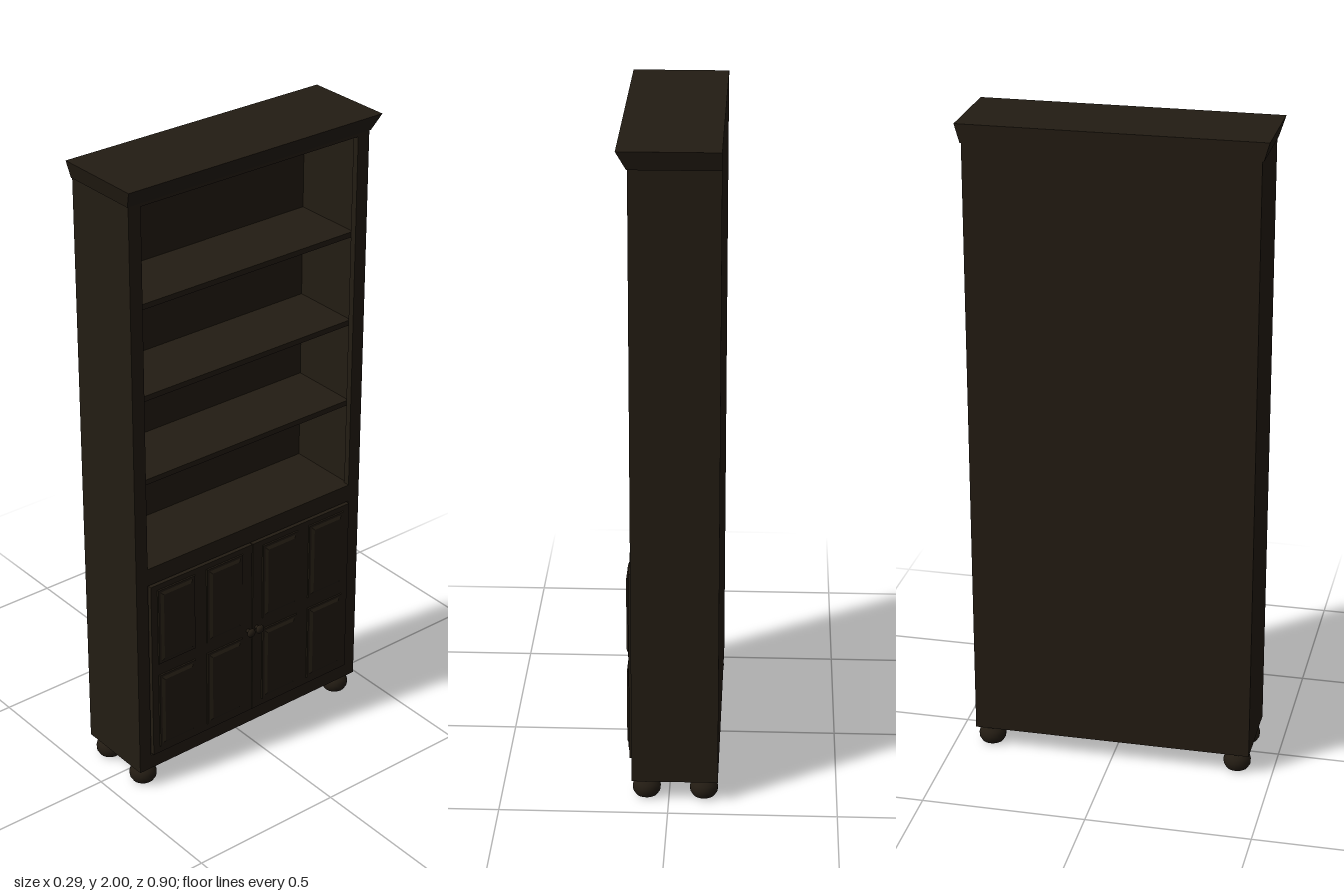
import * as THREE from 'three';

const wood = new THREE.MeshStandardMaterial({ color: 0x231c13 });

function add(parent, name, geometry) {
  const mesh = new THREE.Mesh(geometry, wood);
  mesh.name = name;
  parent.add(mesh);
  return mesh;
}

// Box given by its limits on each axis
function box(parent, name, [x0, x1], [y0, y1], [z0, z1]) {
  const mesh = add(parent, name, new THREE.BoxGeometry(x1 - x0, y1 - y0, z1 - z0));
  mesh.position.set((x0 + x1) / 2, (y0 + y1) / 2, (z0 + z1) / 2);
  return mesh;
}

// Raised panel: a thin slab whose +x face is inset to make a bevel
function raisedPanel(parent, name, x, y, z, depth, height, width, inset) {
  const geometry = new THREE.BoxGeometry(depth, height, width);
  const p = geometry.attributes.position;
  for (let i = 0; i < p.count; i++) {
    if (p.getX(i) > 0) {
      p.setY(i, p.getY(i) - Math.sign(p.getY(i)) * inset);
      p.setZ(i, p.getZ(i) - Math.sign(p.getZ(i)) * inset);
    }
  }
  const flat = geometry.toNonIndexed();
  flat.computeVertexNormals();
  add(parent, name, flat).position.set(x, y, z);
}

function lathe(points) {
  return new THREE.LatheGeometry(points.map(([r, y]) => new THREE.Vector2(r, y)), 24);
}

export function createModel() {
  const model = new THREE.Group();
  model.name = 'bookcase';
  const back = -0.146, frameBack = 0.09, front = 0.11;

  // Carcass
  box(model, 'backPanel', [back, -0.135], [0.065, 1.95], [-0.43, 0.43]);
  box(model, 'basePanel', [back, frameBack], [0.065, 0.11], [-0.43, 0.43]);
  box(model, 'topPanel', [back, frameBack], [1.935, 1.95], [-0.43, 0.43]);
  for (const s of [-1, 1]) {
    const side = (a, b) => (s > 0 ? [a, b] : [-b, -a]);
    box(model, 'sidePanel', [back, frameBack], [0.065, 1.95], side(0.395, 0.43));
    box(model, 'frontStile', [frameBack, front], [0.065, 1.95], side(0.388, 0.43));
  }

  // Face frame rails
  box(model, 'bottomRail', [frameBack, front], [0.065, 0.113], [-0.388, 0.388]);
  box(model, 'middleRail', [frameBack, front], [0.725, 0.782], [-0.388, 0.388]);
  box(model, 'topRail', [frameBack, front], [1.935, 1.95], [-0.388, 0.388]);

  // Shelves
  box(model, 'cabinetTop', [-0.135, frameBack], [0.765, 0.782], [-0.395, 0.395]);
  for (const y of [1.07, 1.342, 1.63])
    box(model, 'shelf', [-0.135, frameBack], [y - 0.017, y], [-0.395, 0.395]);

  // Crown moulding, flush at the back and flaring at the front and sides
  const crown = new THREE.BoxGeometry(1, 1, 1);
  const p = crown.attributes.position;
  for (let i = 0; i < p.count; i++) {
    const top = p.getY(i) > 0;
    p.setXYZ(i,
      p.getX(i) < 0 ? back : top ? 0.141 : 0.112,
      top ? 2 : 1.945,
      Math.sign(p.getZ(i)) * (top ? 0.45 : 0.434));
  }
  const crownFlat = crown.toNonIndexed();
  crownFlat.computeVertexNormals();
  add(model, 'crownMoulding', crownFlat);

  // Doors with bevelled panels and knobs
  const knob = lathe([[0, 0], [0.007, 0], [0.006, 0.008], [0.012, 0.012],
    [0.015, 0.017], [0.012, 0.022], [0.006, 0.025], [0, 0.0255]]);
  for (const s of [-1, 1]) {
    const door = new THREE.Group();
    door.name = s > 0 ? 'leftDoor' : 'rightDoor';
    model.add(door);
    box(door, 'doorSlab', [0.095, 0.119], [0.117, 0.722], s > 0 ? [0.0015, 0.384] : [-0.384, -0.0015]);
    for (const z of [0.108, 0.291])
      for (const y of [0.27, 0.572]) {
        raisedPanel(door, 'panelMoulding', 0.12, y, s * z, 0.004, 0.265, 0.142, 0.003);
        raisedPanel(door, 'raisedPanel', 0.1235, y, s * z, 0.007, 0.25, 0.127, 0.012);
      }
    const handle = add(door, 'knob', knob);
    handle.rotation.z = -Math.PI / 2;
    handle.position.set(0.119, 0.418, s * 0.017);
  }

  // Bun feet
  const foot = lathe([[0, 0], [0.024, 0], [0.034, 0.006], [0.041, 0.018], [0.042, 0.032],
    [0.038, 0.045], [0.028, 0.055], [0.02, 0.058], [0.02, 0.066]]);
  for (const x of [-0.104, 0.067])
    for (const z of [-0.388, 0.388])
      add(model, 'bunFoot', foot).position.set(x, 0, z);

  return model;
}
